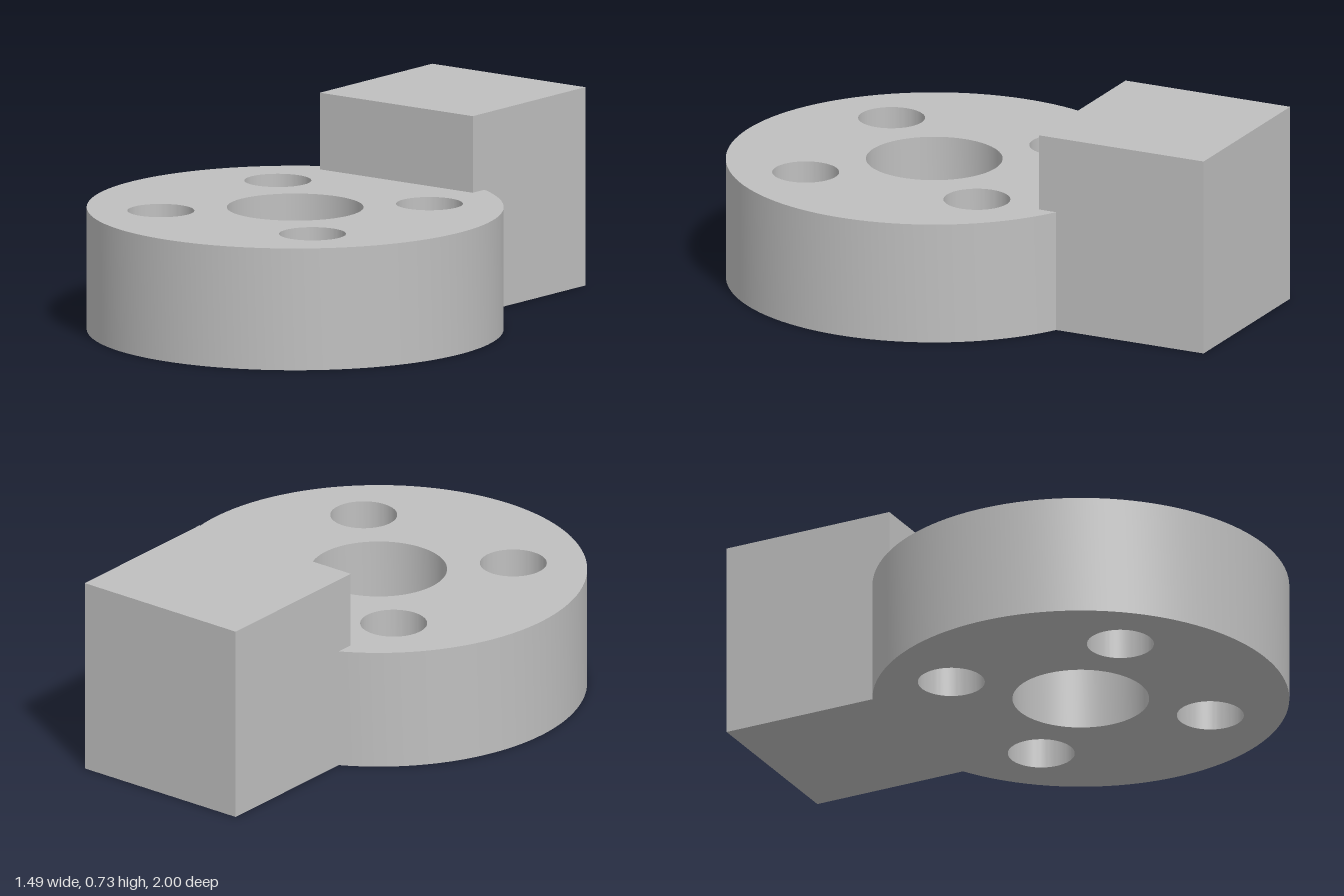
import * as THREE from 'three';
import { toCreasedNormals } from 'three/addons/utils/BufferGeometryUtils.js';

const RADIUS = 0.747, CENTRE_Z = 0.253, HEIGHT = 0.445;
const BLOCK = { half: 0.346, front: -0.34, back: -1, top: 0.725 };

export function createModel() {
  const group = new THREE.Group();
  const grey = new THREE.MeshStandardMaterial({ color: 0xbfbfbf });
  grey.name = 'grey';

  const add = (name, geometry) => {
    const mesh = new THREE.Mesh(geometry, grey);
    mesh.name = name;
    group.add(mesh);
    return mesh;
  };

  // Footprint: a disc joined to the square foot of the block (shape y is -z)
  const cy = -CENTRE_Z;
  const start = Math.acos(BLOCK.half / RADIUS);
  const outline = new THREE.Shape();
  outline.moveTo(BLOCK.half, -BLOCK.back);
  outline.lineTo(-BLOCK.half, -BLOCK.back);
  outline.absarc(0, cy, RADIUS, Math.PI - start, Math.PI * 2 + start, false);
  outline.closePath();

  // Centre bore and four bolt holes
  const hole = (x, y, r) => {
    const path = new THREE.Path();
    path.absarc(x, cy + y, r, 0, Math.PI * 2, true);
    outline.holes.push(path);
  };
  hole(0, 0, 0.245);
  for (const sx of [-1, 1]) for (const sy of [-1, 1]) hole(sx * 0.343, sy * 0.343, 0.12);

  const flange = new THREE.ExtrudeGeometry(outline, { depth: HEIGHT, bevelEnabled: false, curveSegments: 48 });
  flange.rotateX(-Math.PI / 2);
  add('flangeWithBlockFoot', toCreasedNormals(flange, 0.5));

  // Upper part of the block, standing on the flange
  const h = BLOCK.top - HEIGHT;
  const block = add('blockTop', new THREE.BoxGeometry(BLOCK.half * 2, h, BLOCK.front - BLOCK.back));
  block.position.set(0, HEIGHT + h / 2, (BLOCK.front + BLOCK.back) / 2);

  return group;
}
